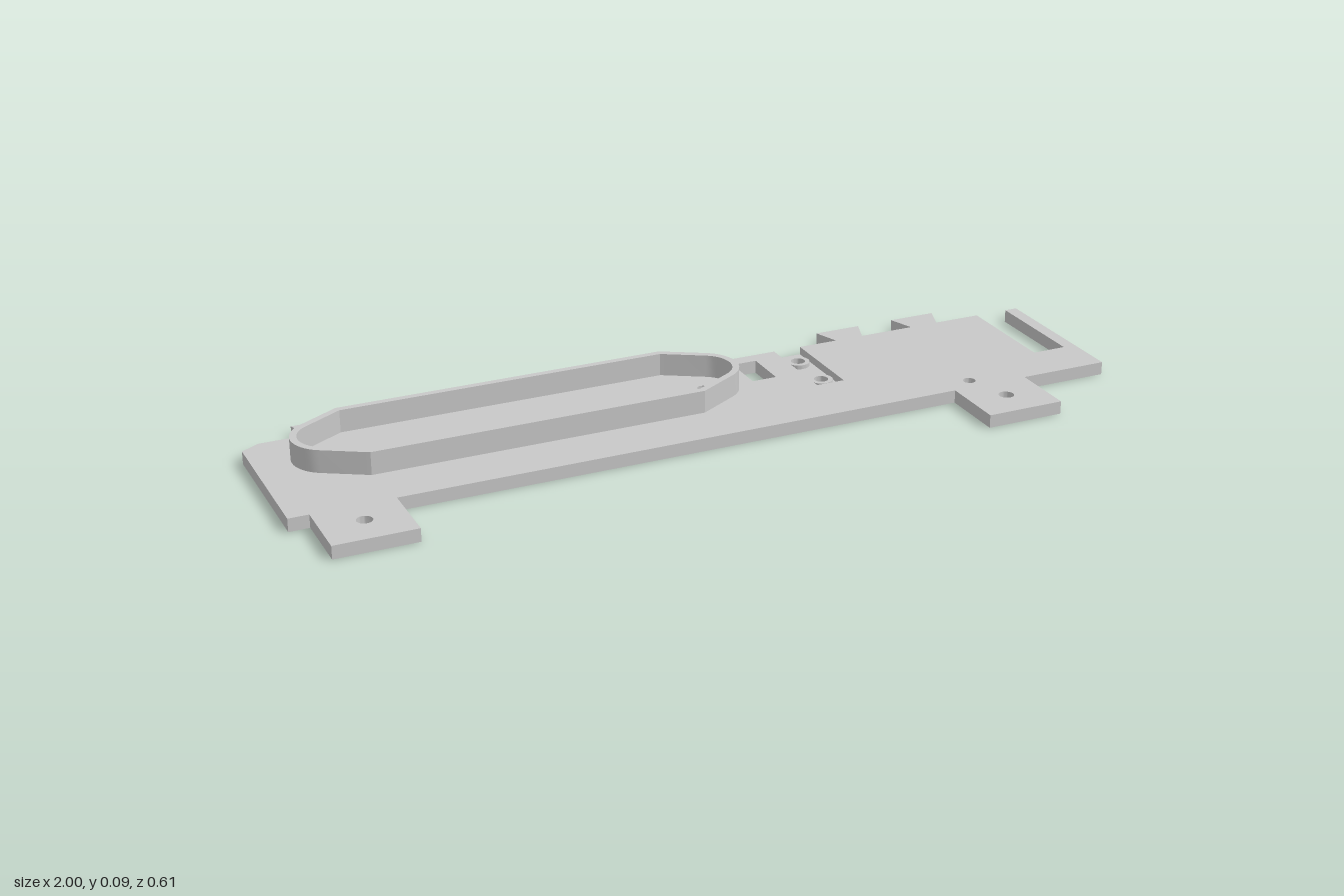
import * as THREE from 'three';
import { toCreasedNormals } from 'three/addons/utils/BufferGeometryUtils.js';

const BACK = -0.242, FRONT = 0.146, END = 0.303; // z of the plate edges and of the tab ends
const FLOOR = 0.012, TOP = 0.031, RIM_TOP = 0.085; // heights

// Shapes are drawn as (x, -z) and extruded upwards; outlines run clockwise, holes the other way
const toV = ([x, z]) => new THREE.Vector2(x, -z);
const circle = (x, z, r) => new THREE.Path().absarc(x, -z, r, 0, Math.PI * 2);
const polygonHole = (pts) => new THREE.Path(pts.map(toV).reverse());

function slab(name, shape, y0, y1, material) {
  const geo = new THREE.ExtrudeGeometry(shape, { depth: y1 - y0, bevelEnabled: false, curveSegments: 16 });
  geo.rotateX(-Math.PI / 2).translate(0, y0, 0);
  const mesh = new THREE.Mesh(toCreasedNormals(geo, 0.5), material);
  mesh.name = name;
  return mesh;
}

const bosses = [[0.352, -0.184], [0.352, -0.064]];
const holes = [
  [-0.856, 0.217, 0.018], [0.689, 0.217, 0.018], [0.654, 0.109, 0.015],
  [-0.832, -0.112, 0.014], [0.067, -0.112, 0.014],
];

// Plate outline with dovetail tabs, feet, side arm and an optional pocket open at the back
function plateShape(withPocket) {
  const dovetail = (x) => [[x - 0.036, BACK], [x - 0.058, -END], [x + 0.058, -END], [x + 0.036, BACK]];
  const foot = (x0, x1) => [[x1, FRONT], [x1, END], [x0, END], [x0, FRONT]];
  const pocket = [[0.317, BACK], [0.317, -0.016], [0.387, -0.016], [0.387, BACK]];
  const pts = [
    [-1, FRONT], [-1, -0.217], [-0.957, BACK],
    ...[-0.808, -0.519, -0.188].flatMap(dovetail),
    ...(withPocket ? pocket : []),
    ...[0.522, 0.732].flatMap(dovetail),
    [0.885, BACK], [0.885, 0.027], [0.969, 0.027], [0.969, BACK], [1, BACK], [1, FRONT],
    ...foot(0.594, 0.783), ...foot(-0.953, -0.763),
  ];
  const shape = new THREE.Shape(pts.map(toV));
  shape.holes.push(...holes.map((h) => circle(...h)));
  shape.holes.push(polygonHole([[0.19, -0.209], [0.251, -0.209], [0.251, -0.1], [0.19, -0.1]]));
  if (!withPocket) shape.holes.push(...bosses.map(([x, z]) => circle(x, z, 0.017)));
  return shape;
}

// Long loop with straight sides, 30 degree shoulders and rounded ends
function rimLoop(r, half) {
  const cz = -0.1115, pts = [];
  const shoulder = r / 2 - (half - r * Math.sin(Math.PI / 3)) * Math.sqrt(3);
  for (const [cx, s] of [[0.067, 1], [-0.833, -1]]) {
    pts.push([cx + s * shoulder, cz - s * half]);
    for (let i = 0; i <= 16; i++) {
      const a = (-1 + i / 8) * Math.PI / 3;
      pts.push([cx + s * r * Math.cos(a), cz + s * r * Math.sin(a)]);
    }
    pts.push([cx + s * shoulder, cz + s * half]);
  }
  return pts;
}

export function createModel() {
  const model = new THREE.Group();
  model.name = 'mountingPlate';
  const grey = new THREE.MeshStandardMaterial({ color: 0xc8c8c8 });
  grey.name = 'grey';

  // Plate in two layers, so that the pocket keeps a thin floor
  model.add(slab('plateLower', plateShape(false), 0, FLOOR, grey));
  model.add(slab('plateUpper', plateShape(true), FLOOR, TOP, grey));

  // Raised rim
  const rim = new THREE.Shape(rimLoop(0.084, 0.129).map(toV));
  rim.holes.push(polygonHole(rimLoop(0.068, 0.113)));
  model.add(slab('rim', rim, TOP, RIM_TOP, grey));

  // Ring bosses in the pocket
  for (const [x, z] of bosses) {
    const ring = new THREE.Shape().absarc(x, -z, 0.028, 0, Math.PI * 2);
    ring.holes.push(circle(x, z, 0.017));
    model.add(slab('screwBoss', ring, FLOOR, 0.022, grey));
  }
  return model;
}
